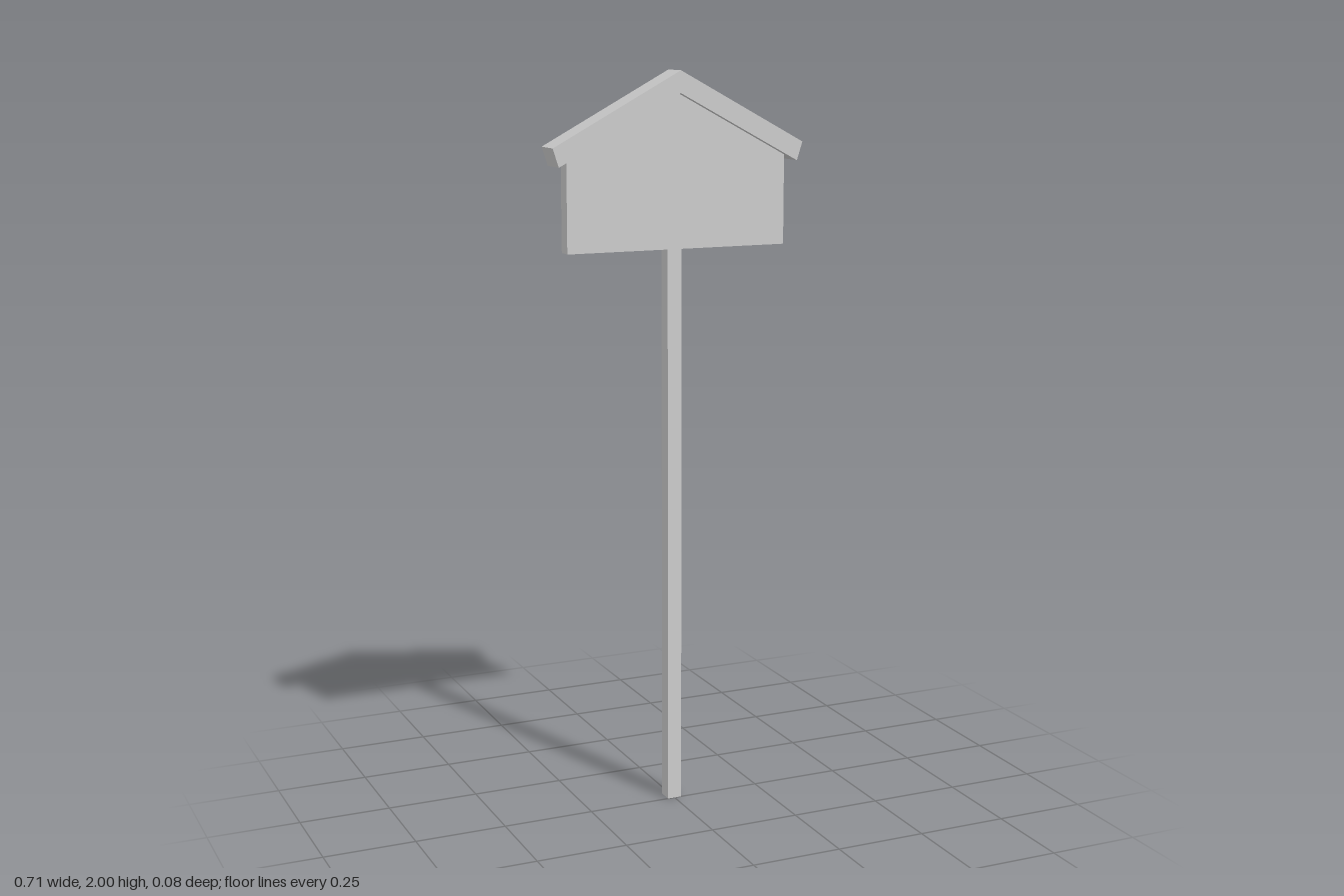
import * as THREE from 'three';

const grey = new THREE.MeshStandardMaterial({ color: 0xcccccc, flatShading: true });

// Extrudes a front outline, given as [x, y] corners, centred on z = 0
function slab(name, corners, depth) {
  const shape = new THREE.Shape(corners.map(([x, y]) => new THREE.Vector2(x, y)));
  const geometry = new THREE.ExtrudeGeometry(shape, { depth, bevelEnabled: false });
  geometry.translate(0, 0, -depth / 2);
  const mesh = new THREE.Mesh(geometry, grey);
  mesh.name = name;
  return mesh;
}

export function createModel() {
  const model = new THREE.Group();
  model.name = 'gabledSignpost';

  // Square post, fixed to the back of the board
  const postHeight = 1.775;
  const post = new THREE.Mesh(new THREE.BoxGeometry(0.04, postHeight, 0.041), grey);
  post.position.set(0, postHeight / 2, -0.0205);
  post.name = 'post';
  model.add(post);

  // Five-sided sign board
  model.add(slab('signBoard', [
    [-0.31, 1.538], [0.31, 1.538], [0.31, 1.776], [0, 1.942], [-0.31, 1.776],
  ], 0.04));

  // Gabled roof cap with square-cut eaves
  model.add(slab('roof', [
    [0, 2], [-0.354, 1.81], [-0.338, 1.761], [0, 1.942], [0.338, 1.761], [0.354, 1.81],
  ], 0.08));

  return model;
}
